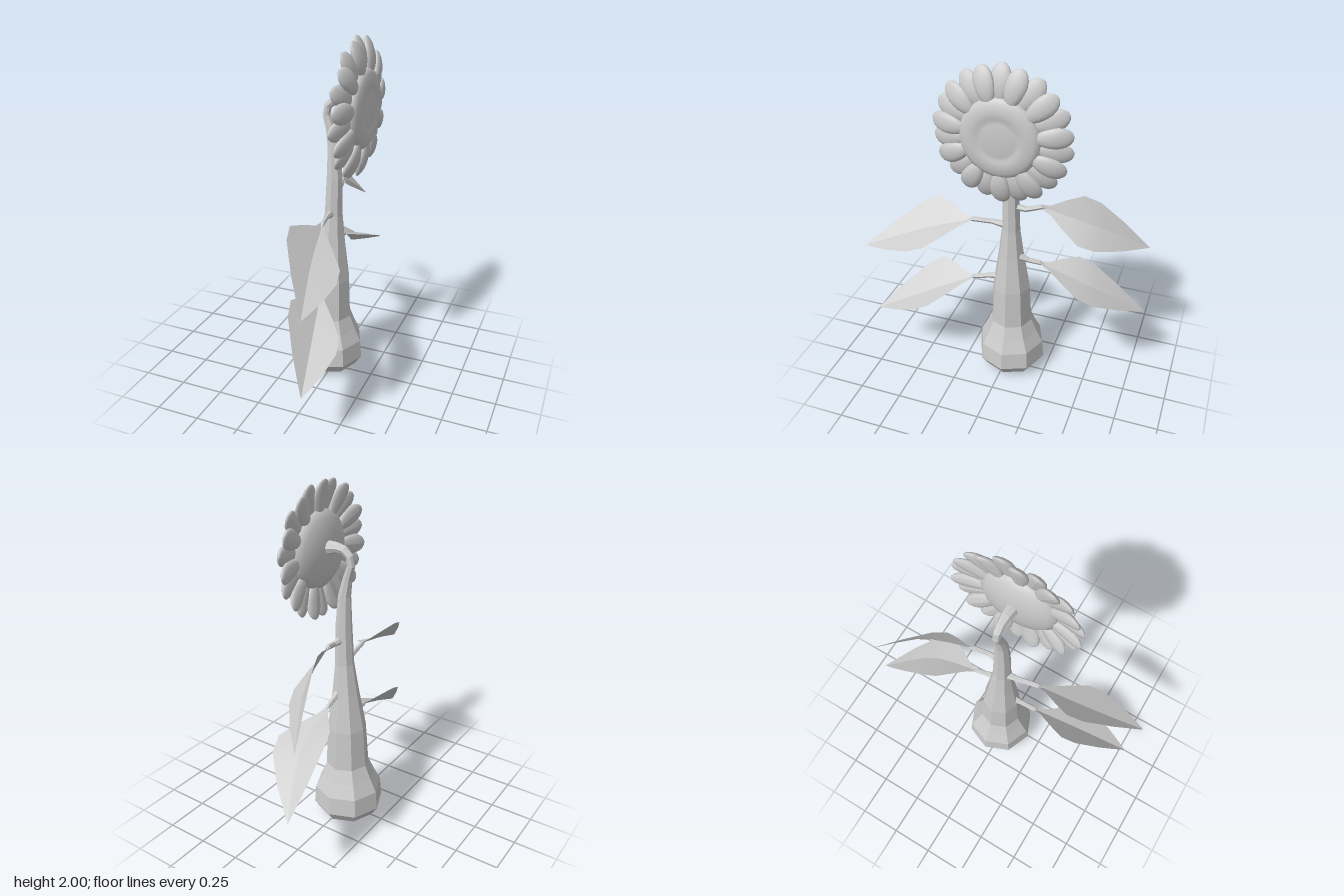
import * as THREE from 'three';

const V = (a) => new THREE.Vector3(...a);
const stemMat = new THREE.MeshStandardMaterial({ color: 0xcccccc, flatShading: true });
const smoothMat = new THREE.MeshStandardMaterial({ color: 0xcccccc });
const leafMat = new THREE.MeshStandardMaterial({ color: 0xcccccc, side: THREE.DoubleSide });

function makeMesh(name, geometry, material) {
  const mesh = new THREE.Mesh(geometry, material);
  mesh.name = name;
  return mesh;
}

function build(positions, index) {
  const g = new THREE.BufferGeometry();
  g.setAttribute('position', new THREE.Float32BufferAttribute(positions, 3));
  g.setIndex(index);
  g.computeVertexNormals();
  return g;
}

// Rings [x, y, z, radius] joined into a tube; ref fixes where each ring starts
function sweep(rings, sides, ref) {
  const pos = [], idx = [];
  const at = (i) => V(rings[Math.min(Math.max(i, 0), rings.length - 1)].slice(0, 3));
  rings.forEach((ring, i) => {
    const t = at(i + 1).sub(at(i - 1)).normalize();
    const n = ref.clone().addScaledVector(t, -ref.dot(t)).normalize();
    const b = t.clone().cross(n);
    for (let j = 0; j < sides; j++) {
      const a = (j / sides) * Math.PI * 2;
      const p = at(i).addScaledVector(n, ring[3] * Math.cos(a)).addScaledVector(b, ring[3] * Math.sin(a));
      pos.push(p.x, p.y, p.z);
      if (i === 0) continue;
      const k = (j + 1) % sides, lo = (i - 1) * sides, hi = i * sides;
      idx.push(lo + j, lo + k, hi + k, lo + j, hi + k, hi + j);
    }
  });
  return build(pos, idx);
}

// Two blade halves meeting at a creased midrib
function bladeGeometry({ base, mid, tip, edges }) {
  const rib = new THREE.CatmullRomCurve3([V(base), V(mid), V(tip)]);
  const stations = [[0, 0.06], [0.1, 0.2], [0.25, 0.6], [0.42, 1], [0.57, 0.98], [0.78, 0.58], [0.9, 0.27], [1, 0]];
  const pos = [], idx = [];
  edges.forEach((edge, side) => {
    const out = V(edge).sub(V(mid));
    const start = pos.length / 3;
    stations.forEach(([t, w], i) => {
      const p = rib.getPoint(t), q = p.clone().addScaledVector(out, w);
      pos.push(p.x, p.y, p.z, q.x, q.y, q.z);
      if (i === 0) return;
      const a = start + i * 2 - 2;
      if (side === 0) idx.push(a, a + 1, a + 3, a, a + 3, a + 2);
      else idx.push(a, a + 3, a + 1, a, a + 2, a + 3);
    });
  });
  return build(pos, idx);
}

// Puffy petal along +y, facing +x, wider toward a tip that bends back
function petalGeometry() {
  const g = new THREE.SphereGeometry(1, 12, 10);
  const p = g.attributes.position;
  for (let i = 0; i < p.count; i++) {
    const s = p.getY(i);
    p.setXYZ(i, p.getX(i) * 0.024 - 0.012 * s * s - 0.018 * s, s * 0.1, p.getZ(i) * 0.054 * (1 + 0.22 * s));
  }
  g.computeVertexNormals();
  return g;
}

export function createModel() {
  const model = new THREE.Group();
  model.name = 'flower';

  // Bulbous base running up into a hooked neck: x, y, radius
  const stemRings = [
    [-0.03, 0, 0], [-0.03, 0.008, 0.1], [-0.03, 0.03, 0.165], [-0.03, 0.09, 0.205], [-0.03, 0.2, 0.196],
    [-0.027, 0.28, 0.158], [-0.025, 0.36, 0.125], [-0.02, 0.6, 0.112], [-0.012, 0.82, 0.077],
    [-0.005, 1.0, 0.054], [0, 1.22, 0.047], [-0.005, 1.4, 0.036], [-0.025, 1.5, 0.027],
    [-0.047, 1.57, 0.022], [-0.038, 1.62, 0.022], [-0.005, 1.65, 0.024], [0.04, 1.656, 0.029],
    [0.11, 1.645, 0.042],
  ].map(([x, y, r]) => [x, y, -0.03, r]);
  model.add(makeMesh('stem', sweep(stemRings, 8, new THREE.Vector3(0, 0, 1)), stemMat));

  // Four leaves, each a thin stalk and a drooping blade
  const leaves = [
    { name: 'upperFrontLeaf', stalk: [[-0.01, 1.01, -0.02], [0, 1.025, 0.08]], base: [0.02, 1.03, 0.19],
      mid: [0.08, 0.94, 0.48], tip: [0.17, 0.81, 0.81], edges: [[-0.055, 1.08, 0.46], [0.225, 0.885, 0.47]] },
    { name: 'lowerFrontLeaf', stalk: [[-0.01, 0.66, 0.02], [0, 0.645, 0.1]], base: [0.01, 0.625, 0.19],
      mid: [0.075, 0.5, 0.46], tip: [0.15, 0.34, 0.78], edges: [[-0.06, 0.64, 0.46], [0.22, 0.47, 0.46]] },
    { name: 'upperBackLeaf', stalk: [[0, 1.15, -0.04], [0.005, 1.145, -0.12]], base: [-0.015, 1.165, -0.2],
      mid: [-0.08, 1.06, -0.5], tip: [-0.23, 0.89, -0.78], edges: [[0.03, 0.975, -0.47], [-0.12, 1.205, -0.46]] },
    { name: 'lowerBackLeaf', stalk: [[0.01, 0.835, -0.06], [0, 0.81, -0.14]], base: [-0.01, 0.8, -0.2],
      mid: [-0.04, 0.68, -0.5], tip: [-0.185, 0.47, -0.8], edges: [[0.12, 0.68, -0.51], [-0.17, 0.765, -0.44]] },
  ];
  for (const leaf of leaves) {
    const group = new THREE.Group();
    group.name = leaf.name;
    const [a, b] = leaf.stalk;
    const end = V(leaf.base).lerp(V(leaf.mid), 0.12).toArray();
    const rings = [[...a, 0.025], [...b, 0.015], [...leaf.base, 0.014], [...end, 0]];
    group.add(makeMesh('stalk', sweep(rings, 6, new THREE.Vector3(1, 0, 0)), stemMat));
    group.add(makeMesh('blade', bladeGeometry(leaf), leafMat));
    model.add(group);
  }

  // Flower head facing +x
  const head = new THREE.Group();
  head.name = 'flowerHead';
  head.position.set(0, 1.625, -0.025);
  const profile = [
    [0, 0.088], [0.06, 0.092], [0.12, 0.102], [0.18, 0.12], [0.212, 0.145], [0.217, 0.165], [0.207, 0.185],
    [0.185, 0.198], [0.15, 0.205], [0.12, 0.204], [0.105, 0.197], [0.09, 0.2], [0.05, 0.204], [0, 0.205],
  ].map(([r, x]) => new THREE.Vector2(r, x));
  const disc = new THREE.LatheGeometry(profile, 32);
  disc.rotateZ(-Math.PI / 2);
  head.add(makeMesh('seedDisc', disc, smoothMat));

  // Petals alternate between a front and a back layer
  const petal = petalGeometry(), count = 22;
  for (let i = 0; i < count; i++) {
    const a = (i / count) * Math.PI * 2;
    const mesh = makeMesh('petal', petal, smoothMat);
    mesh.position.set(i % 2 ? 0.166 : 0.148, Math.cos(a) * 0.275, Math.sin(a) * 0.275);
    mesh.rotation.x = a;
    head.add(mesh);
  }
  model.add(head);
  return model;
}
